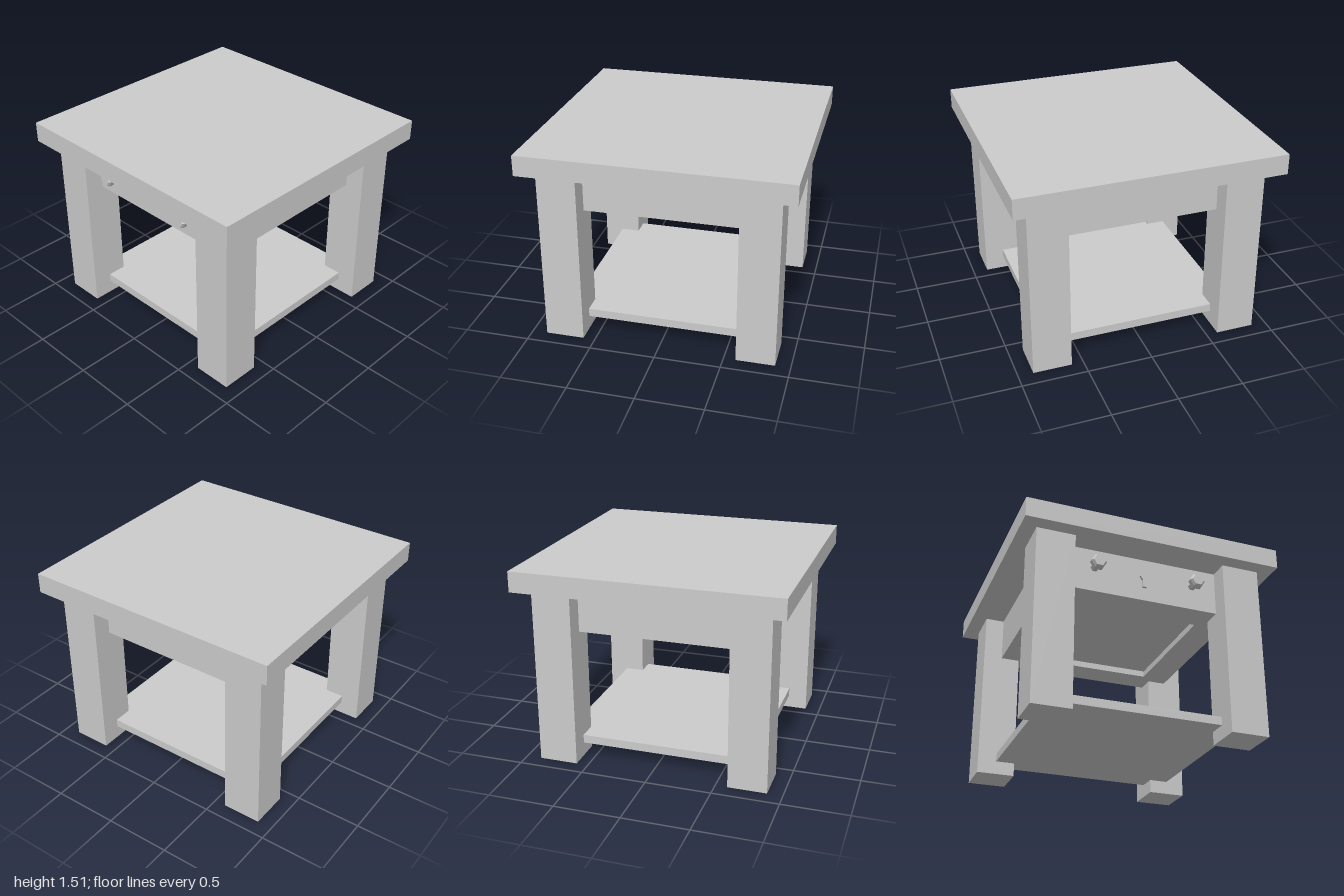
import * as THREE from 'three';

const material = new THREE.MeshStandardMaterial({ color: 0xcccccc, flatShading: true });

export function createModel() {
  const table = new THREE.Group();
  table.name = 'sideTable';

  const add = (name, geometry, x = 0, y = 0, z = 0) => {
    const mesh = new THREE.Mesh(geometry, material);
    mesh.name = name;
    mesh.position.set(x, y, z);
    table.add(mesh);
    return mesh;
  };
  // Box between two heights
  const slab = (name, width, depth, bottom, top, x = 0, z = 0) =>
    add(name, new THREE.BoxGeometry(width, top - bottom, depth), x, (bottom + top) / 2, z);

  const apronHalf = 0.7375;
  const openingHalf = 0.515;
  const apronBottom = 1.015;
  const topBottom = 1.36;

  slab('tableTop', 2, 2, topBottom, 1.515);
  slab('lowerShelf', apronHalf * 2, apronHalf * 2, 0.105, 0.17);

  // Four square legs
  for (const [x, side] of [[1, 'left'], [-1, 'right']]) {
    for (const [z, end] of [[1, 'Front'], [-1, 'Back']]) {
      slab(`${side}${end}Leg`, 0.295, 0.295, 0, topBottom, x * 0.7375, z * 0.7375);
    }
  }

  // Apron: a square frame around a shallow recess in the underside
  const square = (path, h) => path.moveTo(-h, -h).lineTo(h, -h).lineTo(h, h).lineTo(-h, h).closePath();
  const frame = square(new THREE.Shape(), apronHalf);
  frame.holes.push(square(new THREE.Path(), openingHalf));
  const apron = new THREE.ExtrudeGeometry(frame, { depth: topBottom - apronBottom, bevelEnabled: false });
  apron.rotateX(-Math.PI / 2);
  add('apron', apron, 0, apronBottom, 0);
  slab('drawerBottom', openingHalf * 2, openingHalf * 2, apronBottom + 0.05, topBottom);

  // Six-sided drawer knobs with a narrow stem and a bevelled head
  const profile = [[0.03, 0], [0.03, 0.05], [0.059, 0.07], [0.059, 0.105], [0.046, 0.125], [0, 0.125]];
  const knob = new THREE.LatheGeometry(profile.map(([r, h]) => new THREE.Vector2(r, h)), 6, Math.PI / 2);
  knob.rotateX(Math.PI / 2);
  add('leftKnob', knob, 0.393, 1.208, apronHalf);
  add('rightKnob', knob, -0.393, 1.208, apronHalf);

  // Keyhole plate: hexagonal head with a straight tail
  const r = 0.035;
  const plate = new THREE.Shape([
    [-0.015, -0.09], [0.015, -0.09], [0.015, -0.03], [r, 0],
    [r / 2, 0.03], [-r / 2, 0.03], [-r, 0], [-0.015, -0.03],
  ].map(([x, y]) => new THREE.Vector2(x, y)));
  add('keyholePlate', new THREE.ExtrudeGeometry(plate, { depth: 0.02, bevelEnabled: false }), 0, 1.21, apronHalf);

  return table;
}
